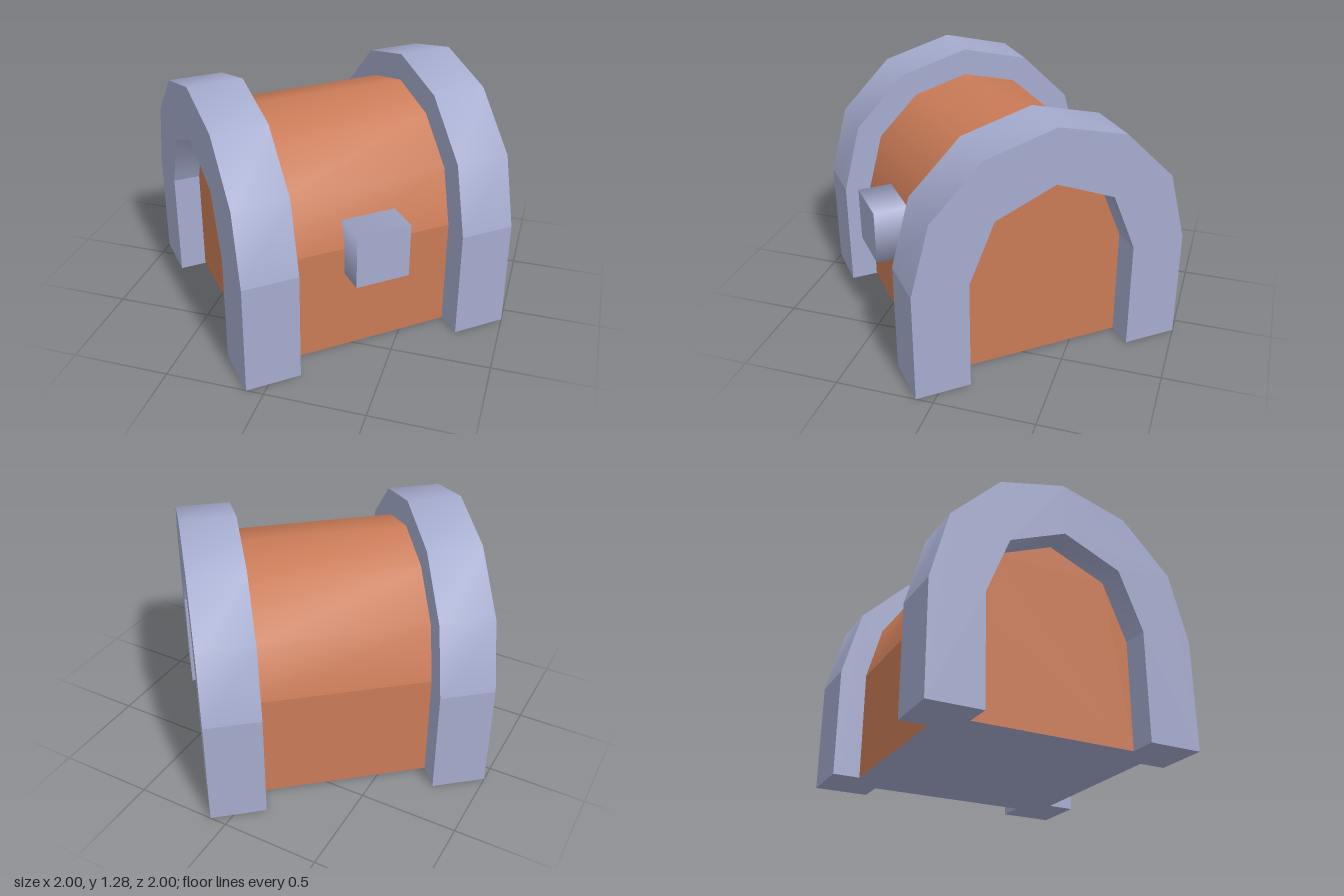
import * as THREE from 'three';
import { mergeGeometries } from 'three/addons/utils/BufferGeometryUtils.js';

const WALL = 0.57;                       // height where the arch springs
const BODY_R = 0.57, BAND_R = 0.71, HOLE_R = 0.43;
const IN_X = 0.43, PANEL_X = 0.57, OUT_X = 0.71;

// Arch points as [z, y], from the front springing to the back one
function arch(r, segments) {
  return Array.from({ length: segments + 1 }, (_, i) => {
    const a = (Math.PI * i) / segments;
    return [r * Math.cos(a), WALL + r * Math.sin(a)];
  });
}

// Smooth strip along x that follows a run of [z, y] points
function strip(points, x0, x1, inward) {
  const pos = [], idx = [];
  points.forEach(([z, y], i) => {
    pos.push(x0, y, z, x1, y, z);
    if (i === points.length - 1) return;
    const a = 2 * i, b = a + 1, c = a + 3, d = a + 2;
    if (inward) idx.push(a, c, b, a, d, c);
    else idx.push(a, b, c, a, c, d);
  });
  const g = new THREE.BufferGeometry();
  g.setAttribute('position', new THREE.Float32BufferAttribute(pos, 3));
  g.setIndex(idx);
  g.computeVertexNormals();
  return g;
}

// Straight walls plus a smooth arch, kept as separate smoothing runs
function vault(r, segments, x0, x1, inward = false) {
  return mergeGeometries([
    strip([[r, 0], [r, WALL]], x0, x1, inward),
    strip(arch(r, segments), x0, x1, inward),
    strip([[-r, WALL], [-r, 0]], x0, x1, inward),
  ]);
}

// Flat end face across x, facing +x (dir 1) or -x (dir -1)
function endFace(points, x, dir) {
  const shape = new THREE.Shape(points.map(([z, y]) => new THREE.Vector2(z, y)));
  return new THREE.ShapeGeometry(shape).rotateY((dir * Math.PI) / 2).translate(x, 0, 0);
}

// Face on the ground, looking down
function underside(w, d, x, z) {
  return new THREE.PlaneGeometry(w, d).rotateX(Math.PI / 2).translate(x, 0, z);
}

export function createModel() {
  const metal = new THREE.MeshStandardMaterial({ color: 0xa5abce });
  metal.name = 'blueGreyMetal';
  const wood = new THREE.MeshStandardMaterial({ color: 0xca7b57 });
  wood.name = 'orangeWood';

  const chest = new THREE.Group();
  chest.name = 'chest';
  const add = (parent, name, geometry, material) => {
    const mesh = new THREE.Mesh(geometry, material);
    mesh.name = name;
    parent.add(mesh);
  };

  // Barrel-topped body and its base
  add(chest, 'body', vault(BODY_R, 6, -IN_X, IN_X), wood);
  add(chest, 'base', underside(2 * IN_X, 2 * BODY_R, 0, 0), metal);

  // U-shaped end face of a band: outer arch, then back along the opening
  const hole = [[HOLE_R, 0], ...arch(HOLE_R, 4), [-HOLE_R, 0]];
  const ring = [[BAND_R, 0], ...arch(BAND_R, 6), [-BAND_R, 0], ...hole.slice().reverse()];
  const bandW = OUT_X - IN_X, legD = BAND_R - HOLE_R, legZ = (BAND_R + HOLE_R) / 2;
  const midX = (OUT_X + IN_X) / 2;

  // Two end bands, each with a recessed panel
  for (const side of [1, -1]) {
    const end = new THREE.Group();
    end.name = side > 0 ? 'leftEnd' : 'rightEnd';
    end.rotation.y = side > 0 ? 0 : Math.PI;
    add(end, 'bandRim', vault(BAND_R, 6, IN_X, OUT_X), metal);
    add(end, 'bandOpening', vault(HOLE_R, 4, PANEL_X, OUT_X, true), metal);
    add(end, 'bandOuterFace', endFace(ring, OUT_X, 1), metal);
    add(end, 'bandInnerFace', endFace(ring, IN_X, -1), metal);
    add(end, 'endPanel', endFace(hole, PANEL_X, 1), wood);
    add(end, 'endSill', underside(PANEL_X - IN_X, 2 * HOLE_R, (PANEL_X + IN_X) / 2, 0), metal);
    for (const s of [1, -1]) add(end, 'bandFoot', underside(bandW, legD, midX, s * legZ), metal);
    chest.add(end);
  }

  // Square latch with softly shaded sides
  const latch = new THREE.CylinderGeometry(0.14 * Math.SQRT2, 0.14 * Math.SQRT2, 0.21, 4)
    .rotateY(Math.PI / 4).rotateX(Math.PI / 2).translate(0, WALL, 0.603);
  add(chest, 'latch', latch, metal);

  // The chest stands turned on its spot
  chest.rotation.y = THREE.MathUtils.degToRad(40);
  const model = new THREE.Group();
  model.name = 'treasureChest';
  model.add(chest);
  return model;
}
